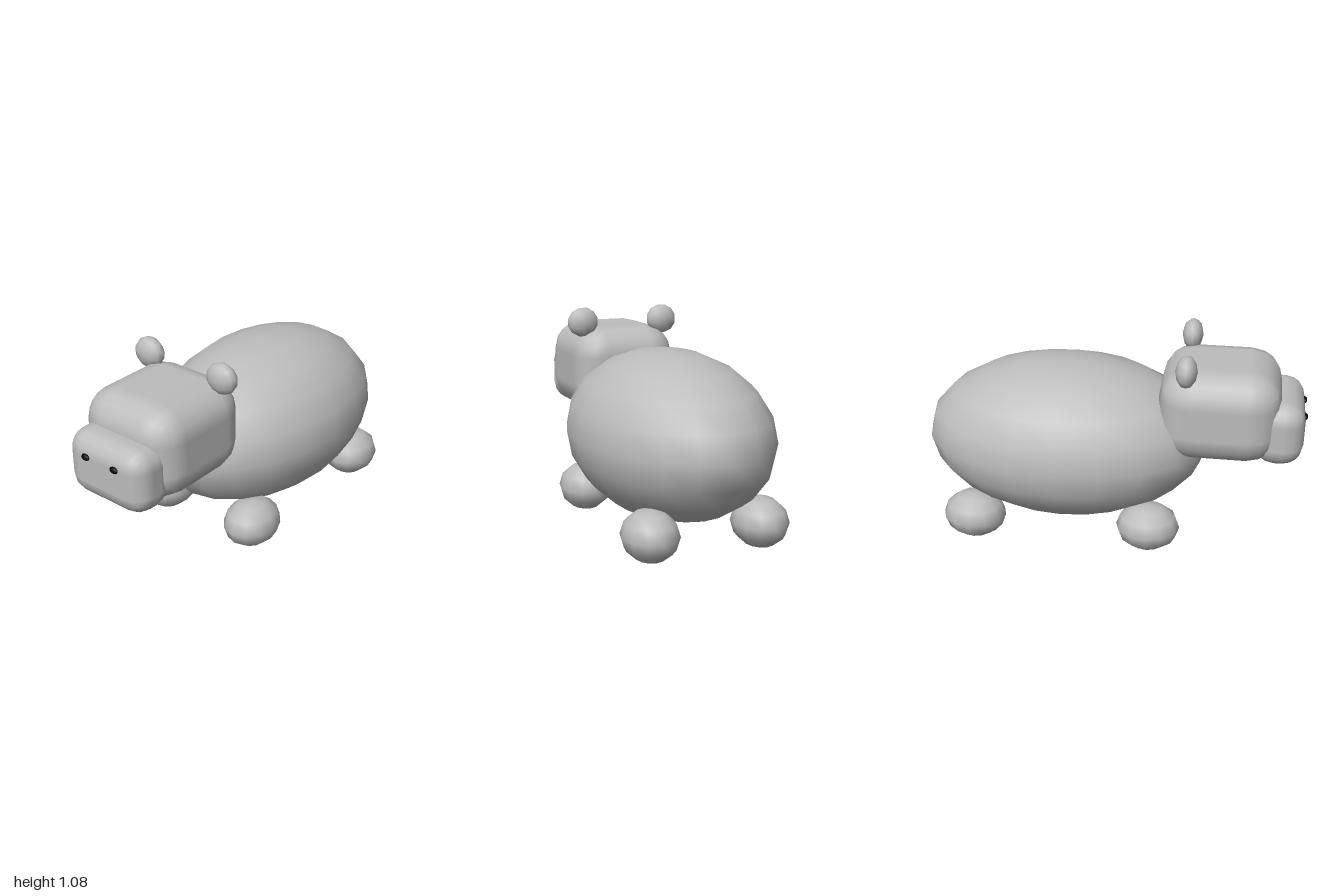
import * as THREE from 'three';
import { RoundedBoxGeometry } from 'three/addons/geometries/RoundedBoxGeometry.js';

export function createModel() {
  const group = new THREE.Group();
  const hide = new THREE.MeshStandardMaterial({ color: 0xbcbcbc });
  hide.name = 'grey hide';
  const black = new THREE.MeshStandardMaterial({ color: 0x050505 });
  black.name = 'black nostril';

  const add = (name, geometry, material, x, y, z) => {
    const mesh = new THREE.Mesh(geometry, material);
    mesh.name = name;
    mesh.position.set(x, y, z);
    group.add(mesh);
    return mesh;
  };
  const ellipsoid = (rx, ry, rz, segments, rings, tilt = 0) =>
    new THREE.SphereGeometry(1, segments, rings).rotateZ(tilt).scale(rx, ry, rz);

  // Barrel-shaped body
  add('body', ellipsoid(0.49, 0.43, 0.75, 20, 10), hide, 0, 0.5, -0.25);

  // Head and muzzle
  add('head', new RoundedBoxGeometry(0.58, 0.49, 0.62, 2, 0.165), hide, 0, 0.733, 0.555);
  add('snout', new RoundedBoxGeometry(0.49, 0.343, 0.25, 2, 0.105), hide, 0, 0.658, 0.862);

  // Paired parts
  for (const side of [1, -1]) {
    const label = side > 0 ? 'left' : 'right';
    add(label + 'Ear', ellipsoid(0.088, 0.081, 0.055, 12, 6, side * Math.PI / 12), hide, side * 0.233, 1.005, 0.386);
    add(label + 'Nostril', ellipsoid(0.026, 0.017, 0.015, 10, 6), black, side * 0.092, 0.728, 0.985);
    add(label + 'FrontFoot', ellipsoid(0.14, 0.127, 0.167, 12, 6), hide, side * 0.29, 0.127, 0.216);
    add(label + 'BackFoot', ellipsoid(0.14, 0.127, 0.167, 12, 6), hide, side * 0.29, 0.127, -0.712);
  }
  return group;
}
